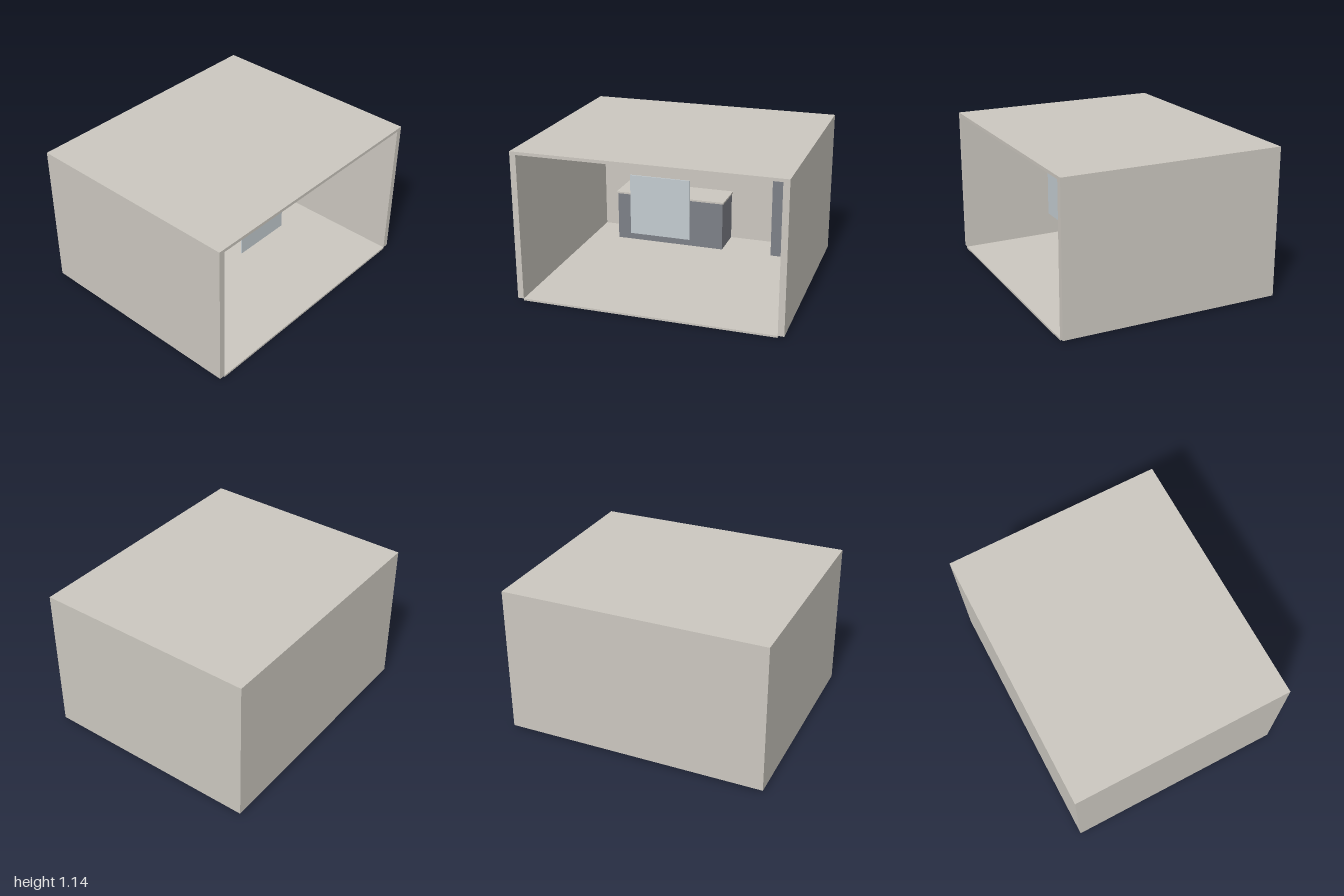
import * as THREE from 'three';

const paint = (color) => new THREE.MeshStandardMaterial({ color });

export function createModel() {
  const room = new THREE.Group();
  room.name = 'room';
  const wall = paint(0xcbc7bf), cabinet = paint(0x7d8087), glass = paint(0xc3cbd0), lamp = paint(0xdedbd4);

  // Box given by its extents along each axis
  function box(name, material, [x0, x1], [y0, y1], [z0, z1]) {
    const mesh = new THREE.Mesh(new THREE.BoxGeometry(x1 - x0, y1 - y0, z1 - z0), material);
    mesh.position.set((x0 + x1) / 2, (y0 + y1) / 2, (z0 + z1) / 2);
    mesh.name = name;
    room.add(mesh);
  }

  const floorTop = 0.015, ceilingBottom = 1.12, back = -0.795, front = 0.84, inner = 0.954;

  // Shell, open at the front
  box('floor', wall, [-inner, inner], [0, floorTop], [back, front]);
  box('ceiling', wall, [-1, 1], [ceilingBottom, 1.143], [-front, front]);
  box('backWall', wall, [-1, 1], [floorTop, ceilingBottom], [-front, back]);
  box('rightWall', wall, [-1, -inner], [floorTop, ceilingBottom], [back, front]);
  box('leftWall', wall, [inner, 1], [floorTop, ceilingBottom], [back, front]);

  // Low counter against the back wall, with an overhanging worktop
  box('counter', cabinet, [-0.727, 0.18], [floorTop, 0.413], [back, -0.507]);
  box('worktop', wall, [-0.737, 0.19], [0.413, 0.427], [back, -0.497]);

  // Tall cupboard in the back corner
  box('tallCupboard', cabinet, [0.59, 0.953], [floorTop, 0.983], [back, -0.507]);

  // Hanging glass panel
  box('glassPanel', glass, [-0.273, 0.18], [0.448, 0.9], [0.38, 0.39]);

  // Round ceiling lights
  for (const x of [-0.5, -0.047, 0.407]) {
    const light = new THREE.Mesh(new THREE.CylinderGeometry(0.027, 0.027, 0.008, 24), lamp);
    light.position.set(x, ceilingBottom - 0.004, 0.02);
    light.name = 'ceilingLight';
    room.add(light);
  }
  return room;
}
